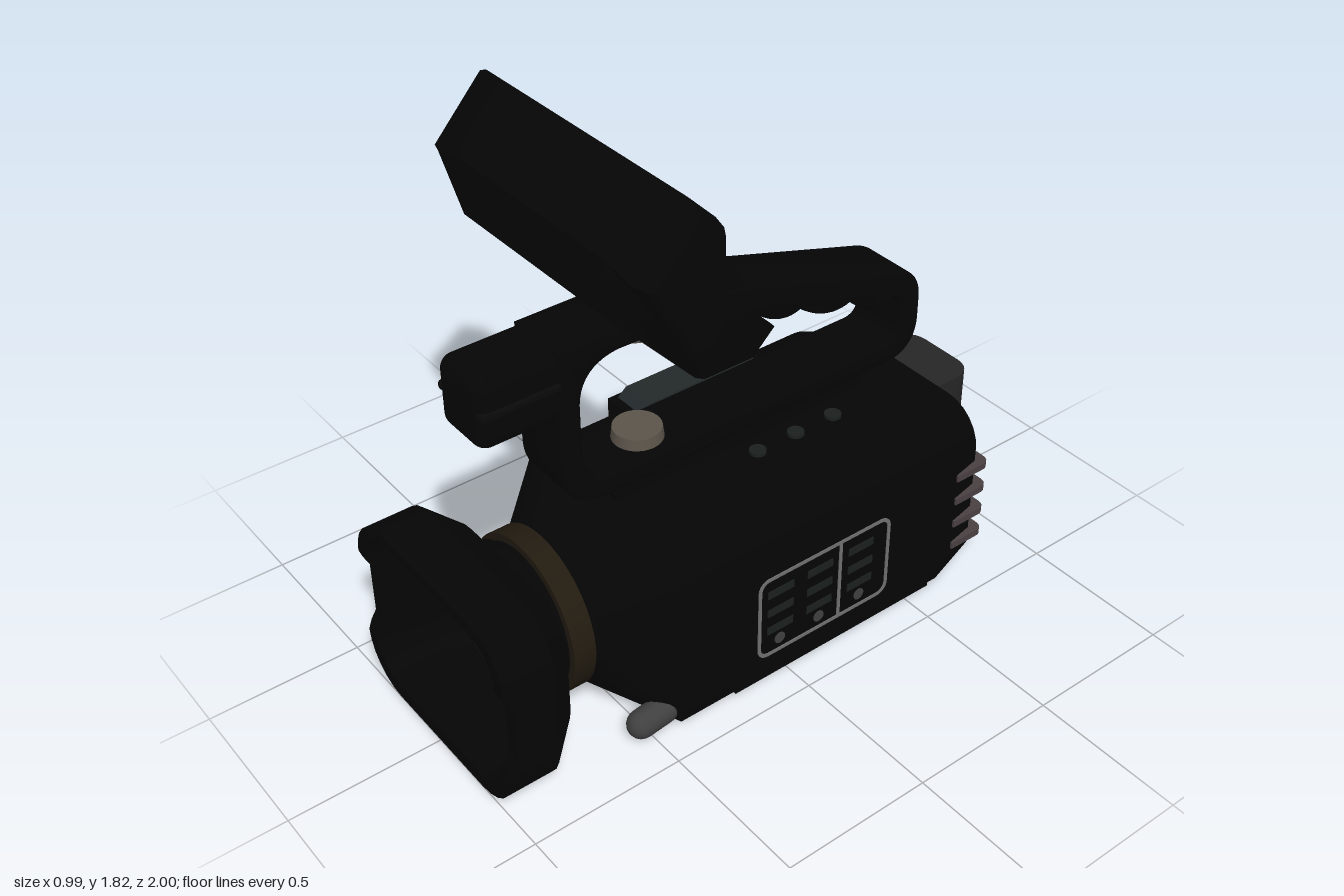
import * as THREE from 'three';
import { toCreasedNormals } from 'three/addons/utils/BufferGeometryUtils.js';
import { RoundedBoxGeometry } from 'three/addons/geometries/RoundedBoxGeometry.js';

const mat = (color) => new THREE.MeshStandardMaterial({ color });
const BLACK = mat(0x050505), DARK = mat(0x090909), BATTERY = mat(0x262626), GREY = mat(0x404040);
const METAL = mat(0x5c554b), BRACKET = mat(0x4a4042), BRASS = mat(0x221b10), GLASS = mat(0x2b4738);
const RED = mat(0x8e2525), WINDOW = mat(0x23292a), KEY = mat(0x1b201f), LINE = mat(0x707070);

export function createModel() {
  const model = new THREE.Group();
  const add = (name, geo, material, x = 0, y = 0, z = 0) => {
    const mesh = new THREE.Mesh(geo, material);
    mesh.name = name;
    mesh.position.set(x, y, z);
    model.add(mesh);
    return mesh;
  };
  const box = (name, m, x0, x1, y0, y1, z0, z1, r = 0) => add(name,
    r ? new RoundedBoxGeometry(x1 - x0, y1 - y0, z1 - z0, 4, r) : new THREE.BoxGeometry(x1 - x0, y1 - y0, z1 - z0),
    m, (x0 + x1) / 2, (y0 + y1) / 2, (z0 + z1) / 2);

  // Rounded rectangle outline, counterclockwise; radii: top right, top left, bottom left, bottom right
  const ring = (x0, x1, y0, y1, z, radii) => {
    const [a, b, c, d] = Array.isArray(radii) ? radii : [radii, radii, radii, radii];
    const corners = [[x1 - a, y1 - a, a], [x0 + b, y1 - b, b], [x0 + c, y0 + c, c], [x1 - d, y0 + d, d]];
    const pts = [];
    corners.forEach(([cx, cy, r], k) => {
      for (let i = 0; i <= 6; i++) {
        const t = (k + i / 6) * Math.PI / 2;
        pts.push(new THREE.Vector3(cx + r * Math.cos(t), cy + r * Math.sin(t), z));
      }
      const [nx, ny, nr] = corners[(k + 1) % 4], t = (k + 1) * Math.PI / 2, last = pts.at(-1);
      const next = new THREE.Vector3(nx + nr * Math.cos(t), ny + nr * Math.sin(t), z);
      for (let i = 1; i < 10; i++) pts.push(last.clone().lerp(next, i / 10));
    });
    return pts;
  };
  // Skin through rings with both ends capped
  const loft = (rings) => {
    const n = rings[0].length, pos = [], idx = [];
    rings.flat().forEach((p) => pos.push(p.x, p.y, p.z));
    for (let s = 0; s < rings.length - 1; s++) {
      for (let i = 0; i < n; i++) {
        const a = s * n + i, b = s * n + (i + 1) % n;
        idx.push(a, a + n, b, b, a + n, b + n);
      }
    }
    [0, rings.length - 1].forEach((s) => {
      const c = rings[s].reduce((v, p) => v.add(p), new THREE.Vector3()).divideScalar(n);
      const k = pos.length / 3;
      pos.push(c.x, c.y, c.z);
      for (let i = 0; i < n; i++) {
        const a = s * n + i, b = s * n + (i + 1) % n;
        s === 0 ? idx.push(k, a, b) : idx.push(k, b, a);
      }
    });
    const g = new THREE.BufferGeometry();
    g.setAttribute('position', new THREE.Float32BufferAttribute(pos, 3));
    g.setIndex(idx);
    return toCreasedNormals(g, 0.5);
  };
  // Side profile in (z, y) extruded across x from -half to half
  const sideExtrude = (shape, half, bevel = 0) => {
    const g = new THREE.ExtrudeGeometry(shape, {
      depth: 2 * (half - bevel), bevelEnabled: bevel > 0, bevelSize: bevel, bevelThickness: bevel,
      bevelOffset: -bevel, bevelSegments: 4, curveSegments: 10,
    });
    g.translate(0, 0, bevel - half).rotateY(-Math.PI / 2);
    return toCreasedNormals(g, 0.6);
  };
  const poly = (pts) => new THREE.Shape(pts.map((p) => new THREE.Vector2(...p)));
  const outlineOf = (Kind, ...args) => new Kind(ring(...args).map((p) => new THREE.Vector2(p.x, p.y)));
  const lathe = (pts) => toCreasedNormals(
    new THREE.LatheGeometry(pts.map((p) => new THREE.Vector2(...p)), 48).rotateX(Math.PI / 2), 0.5);

  // Main body, tapered at both ends
  const bodyR = [0.14, 0.15, 0.13, 0.02];
  add('body', loft([
    ring(-0.25, 0.25, 0.07, 0.57, 0.59, 0.24),
    ring(-0.39, 0.39, 0, 0.63, 0.4, bodyR),
    ring(-0.39, 0.39, 0, 0.63, -0.64, bodyR),
    ring(-0.345, 0.355, 0.04, 0.58, -0.81, bodyR),
  ]), BLACK);
  box('controlPanel', BLACK, 0.35, 0.392, 0.003, 0.44, -0.6, 0.2);
  for (let i = 0; i < 6; i++) box('ventRib', DARK, -0.393, -0.37, 0.17, 0.42, i * 0.06 - 0.05, i * 0.06 - 0.025);

  // Battery: square top and bottom, rounded rear corners
  const batteryShape = outlineOf(THREE.Shape, -0.16, 0.14, 0.7, 1, 0, [0.07, 0.07, 0.01, 0.01]);
  const batteryGeo = new THREE.ExtrudeGeometry(batteryShape, { depth: 0.55, bevelEnabled: false }).rotateX(-Math.PI / 2);
  add('battery', toCreasedNormals(batteryGeo, 0.5), BATTERY);

  // Lens barrel, focus ring and glass
  add('lensBarrel', lathe([[0, 0.5], [0.25, 0.5], [0.25, 0.6], [0.235, 0.61], [0.235, 0.7], [0.25, 0.71],
    [0.25, 0.745], [0, 0.745]]), BLACK, 0, 0.32);
  add('focusRing', lathe([[0.2, 0.61], [0.26, 0.61], [0.26, 0.685], [0.2, 0.685]]), BRASS, 0, 0.32);
  add('lensRim', lathe([[0.22, 0.74], [0.215, 0.785], [0.2, 0.795], [0.185, 0.795], [0.175, 0.78], [0.16, 0.775],
    [0.157, 0.74]]), DARK, 0, 0.32);
  const dome = new THREE.SphereGeometry(0.26, 40, 12, 0, Math.PI * 2, 0, Math.asin(0.157 / 0.26)).rotateX(Math.PI / 2);
  add('lensGlass', dome, GLASS, 0, 0.32, 0.552);

  // Lens hood with a shallow notch in each side of the rim
  const notch = (pts) => {
    pts.forEach((p) => {
      if (Math.abs(p.x) > 0.28) p.z -= 0.03 * THREE.MathUtils.clamp((0.135 - Math.abs(p.y - 0.315)) / 0.03, 0, 1);
    });
    return pts;
  };
  add('lensHood', loft([
    ring(-0.29, 0.29, 0.08, 0.55, 0.75, 0.12),
    ring(-0.31, 0.31, 0.075, 0.555, 0.85, 0.09),
    notch(ring(-0.345, 0.345, 0.045, 0.59, 1, 0.12)),
    notch(ring(-0.39, 0.39, 0, 0.63, 1, 0.16)),
    ring(-0.39, 0.39, 0, 0.63, 0.835, 0.16),
    ring(-0.31, 0.31, 0.07, 0.56, 0.74, 0.14),
  ]), BLACK);
  const foot = add('frontKnob', new THREE.CapsuleGeometry(0.045, 0.09, 6, 20).rotateX(Math.PI / 2), GREY, 0.345, 0.046, 0.478);
  foot.rotation.y = 0.1;

  // Carrying handle: loop with finger grips
  const loop = new THREE.Shape();
  loop.moveTo(0.44, 0.706);
  loop.quadraticCurveTo(0.59, 0.72, 0.592, 0.86);
  loop.lineTo(0.592, 1.26);
  loop.lineTo(0.15, 1.26);
  loop.lineTo(-0.05, 1.22);
  loop.lineTo(-0.67, 1.035);
  loop.quadraticCurveTo(-0.763, 1.0, -0.763, 0.91);
  loop.lineTo(-0.763, 0.83);
  loop.quadraticCurveTo(-0.76, 0.72, -0.65, 0.706);
  const hole = new THREE.Path();
  hole.moveTo(0.44, 0.78);
  hole.quadraticCurveTo(0.515, 0.79, 0.517, 0.87);
  hole.lineTo(0.517, 1.06);
  hole.quadraticCurveTo(0.51, 1.175, 0.39, 1.185);
  hole.lineTo(0.17, 1.18);
  hole.lineTo(0.06, 1.12);
  hole.lineTo(-0.06, 1.14);
  [[-0.27, 1.053, 0.98], [-0.47, 1.0, 0.93], [-0.65, 0.945, 0.87]].forEach(([z, y, dip]) =>
    hole.quadraticCurveTo(z + 0.09, dip + 0.035, z, y));
  hole.quadraticCurveTo(-0.68, 0.93, -0.683, 0.9);
  hole.lineTo(-0.683, 0.83);
  hole.quadraticCurveTo(-0.68, 0.78, -0.63, 0.78);
  loop.holes.push(hole);
  add('handle', sideExtrude(loop, 0.105, 0.015), BLACK);
  add('handleBase', sideExtrude(poly([[0.374, 0.62], [0.425, 0.72], [-0.63, 0.72], [-0.535, 0.62]]), 0.06), BLACK);

  // Microphone clamp at the front of the handle
  box('microphone', BLACK, -0.105, 0.105, 1.03, 1.26, 0.535, 0.842, 0.045);
  box('microphoneBand', DARK, -0.113, 0.113, 1.135, 1.165, 0.58, 0.835, 0.012);

  // Thumb screws inside the handle
  add('lowerThumbScrew', new THREE.CylinderGeometry(0.075, 0.08, 0.04, 32), METAL, 0, 0.796, 0.26);
  add('upperThumbScrew', new THREE.CylinderGeometry(0.08, 0.073, 0.04, 32), METAL, 0, 1.17, 0.26);

  // Record button on a bulge of the handle
  add('recordBoss', sideExtrude(poly([[0.15, 1.2], [0.125, 1.25], [0.1, 1.278], [0.045, 1.303], [0.0, 1.298],
    [-0.04, 1.265], [-0.055, 1.22], [-0.055, 1.14], [0.015, 1.11], [0.1, 1.145]]), 0.1, 0.008), BLACK);
  const button = add('recordButton', new THREE.CylinderGeometry(0.042, 0.046, 0.03, 32), RED, 0, 1.292, 0.02);
  button.rotation.x = -0.2;

  // Tilted screen, its lower front corners cut back towards the ends; x, scale and cut per section
  const screenSection = ([x, scale, cut]) => [[0.583, 1.655 - 0.02 * cut], [0.583 - 0.075 * cut, 1.485 + 0.02 * cut],
    [0.39, 1.283], [0.22, 1.283], [0.145, 1.355], [0.325, 1.53], [0.325, 1.735], [0.412, 1.822]]
    .map(([z, y]) => new THREE.Vector3(x, 1.55 + (y - 1.55) * scale, 0.37 + (z - 0.37) * scale));
  const halfScreen = [[0.495, 0.84, 1], [0.482, 0.94, 1], [0.445, 1, 1], [0.33, 1, 0]];
  const otherHalf = halfScreen.map(([x, scale, cut]) => [-x, scale, cut]).reverse();
  add('screen', loft([...halfScreen, ...otherHalf].map(screenSection)), BLACK);
  box('screenHinge', BLACK, -0.1, 0.1, 1.2, 1.31, 0.16, 0.365, 0.02);

  // Sloped window and buttons on the top
  box('windowFrame', BLACK, -0.35, -0.205, 0.55, 0.652, -0.4, 0.12);
  add('window', sideExtrude(poly([[0.105, 0.64], [0.06, 0.68], [-0.35, 0.68], [-0.39, 0.64]]), 0.06), WINDOW, -0.275);
  [-0.39, -0.24, -0.09].forEach((z) =>
    add('topButton', new THREE.CylinderGeometry(0.027, 0.027, 0.03, 24), KEY, 0.13, 0.626, z));

  // Outlined key field on the side
  const outline = outlineOf(THREE.Shape, -0.41, 0.117, 0.088, 0.397, 0, 0.04);
  outline.holes.push(outlineOf(THREE.Path, -0.398, 0.105, 0.1, 0.385, 0, 0.03));
  add('keyOutline', sideExtrude(outline, 0.003), LINE, 0.392);
  box('keyDivider', LINE, 0.388, 0.395, 0.095, 0.39, -0.212, -0.2);
  [0.03, -0.125, -0.29].forEach((z) => {
    [0.33, 0.258, 0.188].forEach((y) => box('key', KEY, 0.385, 0.395, y - 0.014, y + 0.014, z - 0.05, z + 0.05));
    add('roundKey', new THREE.CylinderGeometry(0.02, 0.02, 0.01, 20).rotateZ(Math.PI / 2), GREY, 0.39, 0.138, z);
  });

  // Brackets wrapped round the rear corner
  const hook = new THREE.Shape();
  hook.moveTo(0.29, 0.85);
  hook.lineTo(0.29, 0.8);
  hook.lineTo(0.345, 0.8);
  hook.lineTo(0.36, 0.71);
  hook.lineTo(0.383, 0.71);
  hook.lineTo(0.383, 0.82);
  hook.quadraticCurveTo(0.383, 0.85, 0.35, 0.85);
  const hookGeo = new THREE.ExtrudeGeometry(hook, { depth: 0.024, bevelEnabled: false }).rotateX(-Math.PI / 2);
  [0.105, 0.195, 0.287, 0.38].forEach((y) => add('rearBracket', hookGeo, BRACKET, 0, y - 0.012, 0));

  return model;
}
